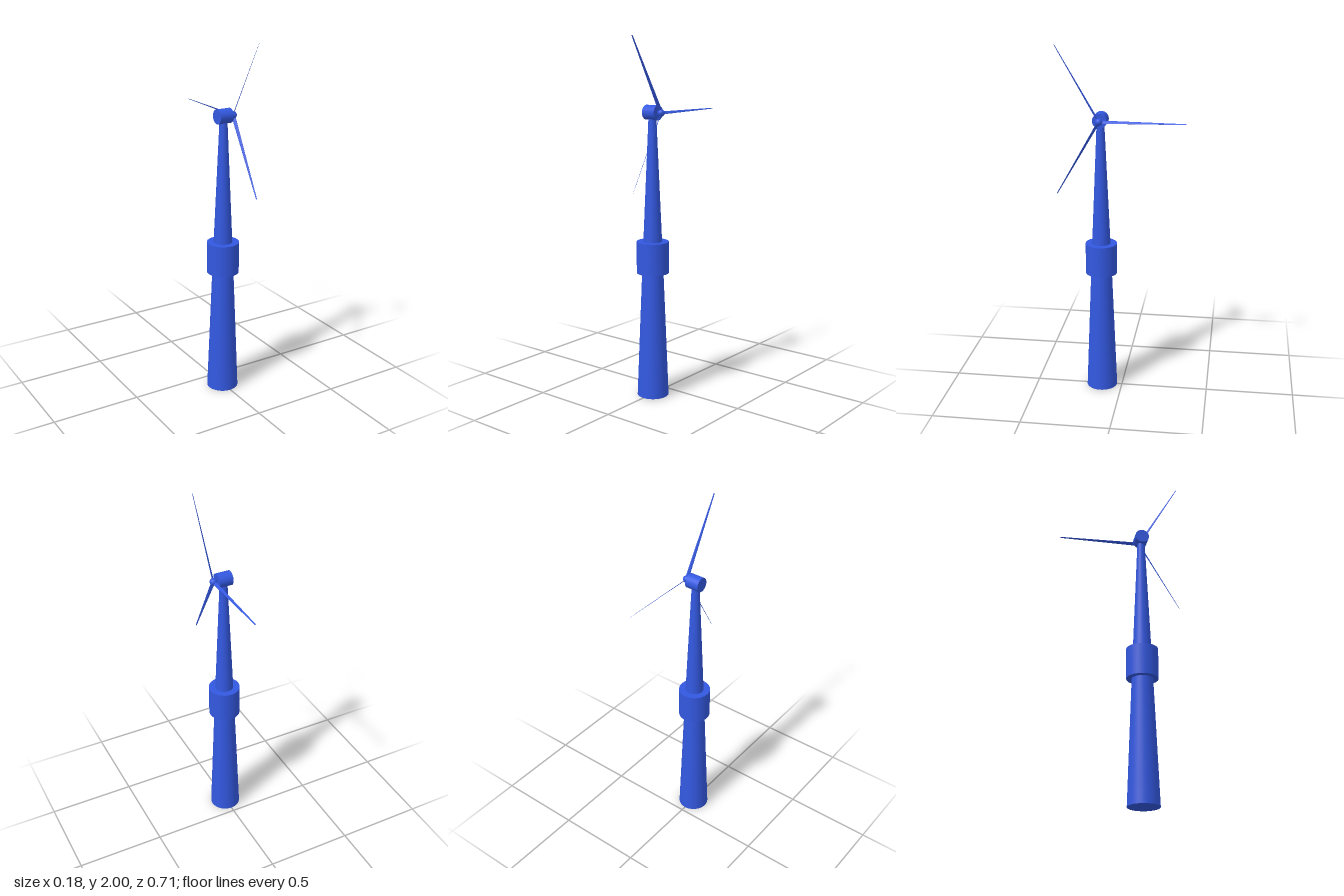
import * as THREE from 'three';

const AXIS_Z = 0.117;      // tower axis, offset so the rotor span is centred
const HUB_Y = 1.595;
const BLADE_LENGTH = 0.469;

export function createModel() {
  const model = new THREE.Group();
  model.name = 'windTurbine';
  const blue = new THREE.MeshStandardMaterial({ color: 0x3358e0 });

  const add = (name, geometry, x, y, z, parent = model) => {
    const mesh = new THREE.Mesh(geometry, blue);
    mesh.name = name;
    mesh.position.set(x, y, z);
    parent.add(mesh);
    return mesh;
  };

  // Upright tapered section between two heights
  const section = (name, rBottom, rTop, y0, y1) =>
    add(name, new THREE.CylinderGeometry(rTop, rBottom, y1 - y0, 48), 0, (y0 + y1) / 2, AXIS_Z);

  section('lowerTower', 0.088, 0.059, 0, 0.72);
  section('collar', 0.089, 0.089, 0.71, 0.887);
  section('upperTower', 0.052, 0.021, 0.88, 1.575);

  // Nacelle: a drum lying along x
  const drum = new THREE.CylinderGeometry(0.04, 0.04, 0.081, 40).rotateZ(Math.PI / 2);
  add('nacelle', drum, 0, HUB_Y, AXIS_Z);

  // Rotor facing +x
  const rotor = new THREE.Group();
  rotor.name = 'rotor';
  rotor.position.set(0.06, HUB_Y, AXIS_Z);
  model.add(rotor);
  add('hub', new THREE.SphereGeometry(0.02, 32, 20), 0, 0, 0, rotor);

  // Thin tapered blade pointing to -z, pitched 45 degrees
  const blade = new THREE.CylinderGeometry(0.003, 0.0105, BLADE_LENGTH, 16)
    .translate(0, BLADE_LENGTH / 2, 0)
    .scale(1, 1, 0.16)
    .rotateX(-Math.PI / 2)
    .rotateZ(-Math.PI / 4);
  for (let i = 0; i < 3; i++) {
    add(`blade${i + 1}`, blade, 0, 0, 0, rotor).rotation.x = (i * 2 * Math.PI) / 3;
  }

  return model;
}
